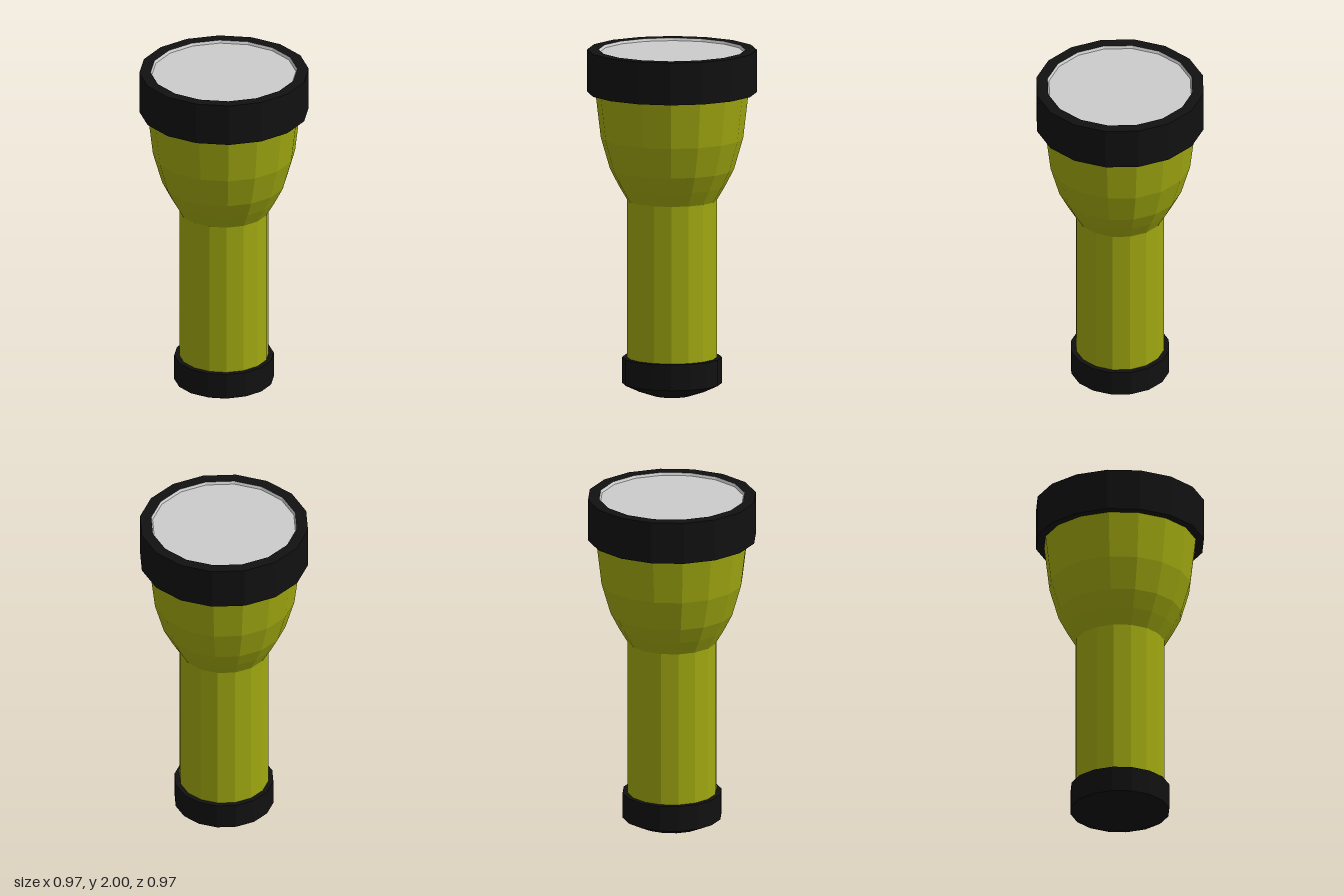
import * as THREE from 'three';

const SIDES = 16;

// Faceted part turned from [radius, height] points, listed bottom to top
function turned(name, color, profile) {
  const points = profile.map(([r, y]) => new THREE.Vector2(r, y));
  const material = new THREE.MeshStandardMaterial({ color, flatShading: true });
  const mesh = new THREE.Mesh(new THREE.LatheGeometry(points, SIDES), material);
  mesh.name = name;
  return mesh;
}

export function createModel() {
  const model = new THREE.Group();
  model.name = 'flashlight';
  const olive = 0xa0a810;
  const black = 0x111111;

  model.add(
    // Bevelled rubber cap at the foot
    turned('tailCap', black, [[0, 0], [0.11, 0], [0.2, 0.03], [0.285, 0.07], [0.285, 0.22], [0.25, 0.22]]),
    // Straight grip
    turned('handle', olive, [[0.256, 0.2], [0.256, 1.13]]),
    // Flaring bowl of the head
    turned('head', olive, [[0.256, 1.13], [0.306, 1.215], [0.355, 1.31], [0.407, 1.49], [0.44, 1.77]]),
    // Thick rim around the lens
    turned('rim', black, [[0.42, 1.755], [0.485, 1.755], [0.485, 2], [0.42, 2]]),
    // Slightly recessed lens with a narrow sloping edge
    turned('lens', 0xcccccc, [[0.42, 2], [0.412, 1.985], [0, 1.985]]),
  );
  return model;
}
